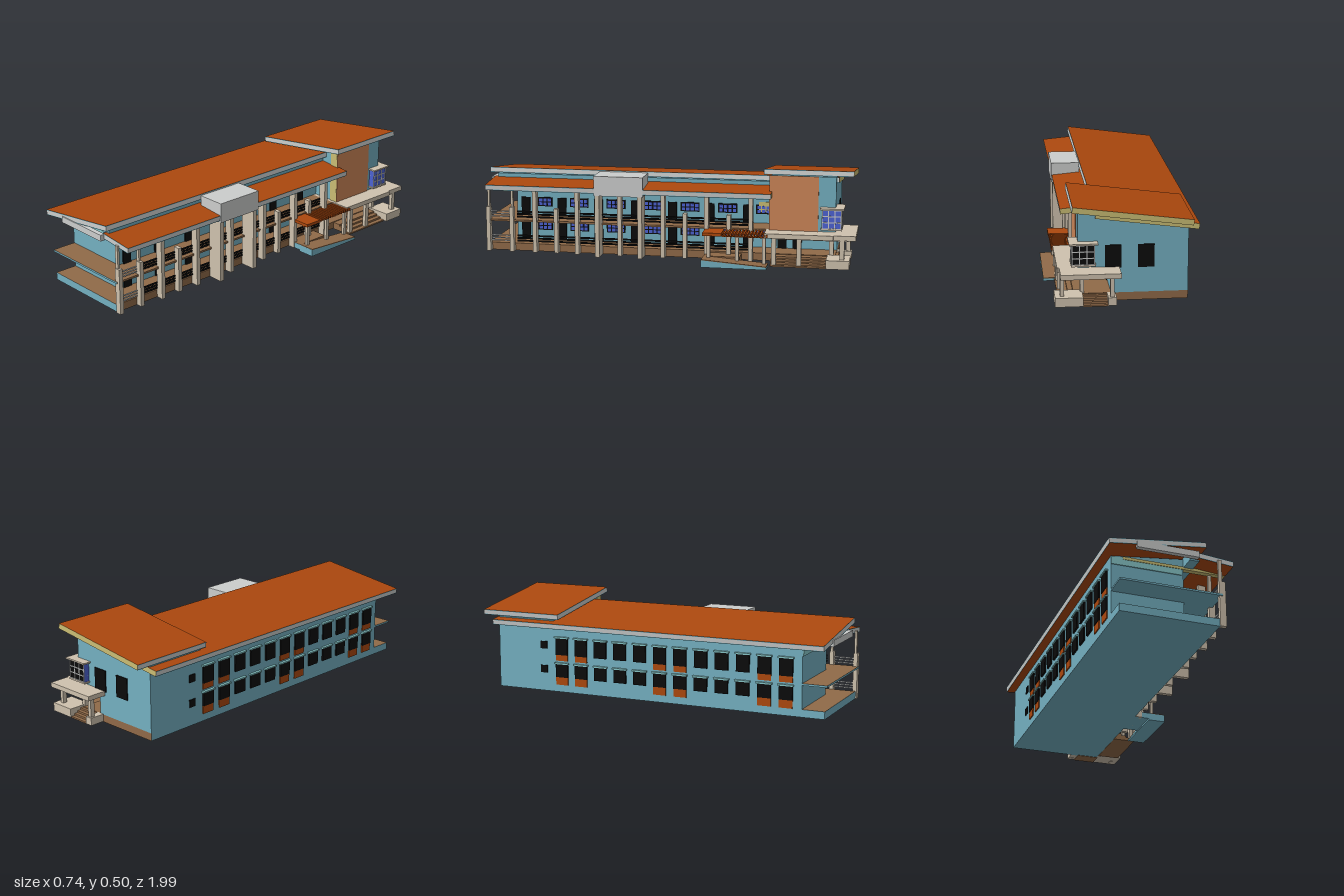
import * as THREE from 'three';

const mat = (name, color) => {
  const m = new THREE.MeshStandardMaterial({ color });
  m.name = name;
  return m;
};

export function createModel() {
  const root = new THREE.Group();
  root.name = 'schoolBuilding';

  const rust = mat('rustRoof', 0xac480e);
  const teal = mat('tealWall', 0x74b0c1);
  const mint = mat('mintTrim', 0x88c8ca);
  const gray = mat('grayFascia', 0xcccecd);
  const beige = mat('beigeConcrete', 0xcfc2ae);
  const yellow = mat('yellowTrim', 0xcabd74);
  const black = mat('blackMetal', 0x0b0b0b);
  const salmon = mat('salmonWall', 0xce8658);
  const brown = mat('brownFloor', 0x906a48);
  const blue = mat('blueGlass', 0x4c62d2);

  // Box from its limits; m may be one material or six (+x -x +y -y +z -z)
  const box = (name, x0, x1, y0, y1, z0, z1, m, parent = root) => {
    const mesh = new THREE.Mesh(new THREE.BoxGeometry(x1 - x0, y1 - y0, z1 - z0), m);
    mesh.position.set((x0 + x1) / 2, (y0 + y1) / 2, (z0 + z1) / 2);
    mesh.name = name;
    parent.add(mesh);
    return mesh;
  };

  // Wall block with a front outline (x, y) drawn out along z
  const block = (name, pts, z0, z1, m) => {
    const shape = new THREE.Shape(pts.map(p => new THREE.Vector2(p[0], p[1])));
    const mesh = new THREE.Mesh(new THREE.ExtrudeGeometry(shape, { depth: z1 - z0, bevelEnabled: false }), m);
    mesh.position.z = z0;
    mesh.name = name;
    root.add(mesh);
    return mesh;
  };

  // Sloping roof slab: gray fascia between two thin teal-edged sheets
  const roof = (name, x0, y0, x1, y1, z0, z1) => {
    const g = new THREE.Group();
    g.name = name;
    const h = Math.hypot(x1 - x0, y1 - y0) / 2;
    box('fascia', -h, h, -0.024, -0.004, z0, z1, [gray, gray, gray, gray, gray, yellow], g);
    const sheet = [teal, teal, rust, rust, teal, yellow];
    box('roofSheet', -h, h, -0.004, 0, z0, z1, sheet, g);
    box('soffit', -h, h, -0.028, -0.024, z0, z1, sheet, g);
    g.position.set((x0 + x1) / 2, (y0 + y1) / 2, 0);
    g.rotation.z = Math.atan2(y1 - y0, x1 - x0);
    root.add(g);
  };

  // Base, upper floor and main walls
  const slab = [brown, teal, brown, teal, teal, brown];
  box('base', -0.315, 0.195, 0.008, 0.048, -0.89, 0.98, slab);
  box('upperFloor', -0.315, 0.212, 0.17, 0.18, -0.55, 0.99, slab);
  block('classroomWall', [[-0.315, 0.048], [0.06, 0.048], [0.06, 0.41], [-0.315, 0.362]], -0.56, 0.86, teal);
  box('frieze', -0.315, 0.05, 0.318, 0.36, 0.86, 0.865, mint);
  box('endBeam', -0.255, 0.28, 0.35, 0.365, 0.84, 0.868, yellow);
  box('endLintel', -0.225, 0.095, 0.36, 0.393, 0.965, 0.99, gray);
  box('clerestory', 0.06, 0.11, 0.36, 0.416, -0.55, 0.95, teal);

  // Taller block: narrow ground storey, wide upper storey
  box('towerGround', -0.315, 0.06, 0.048, 0.18, -0.89, -0.55, teal);
  block('towerUpper', [[-0.315, 0.18], [0.22, 0.18], [0.22, 0.468], [-0.315, 0.398]], -0.89, -0.55, teal);
  box('salmonPanel', 0.22, 0.225, 0.18, 0.468, -0.8, -0.546, salmon);
  box('yellowPanel', 0.175, 0.222, 0.18, 0.462, -0.55, -0.545, yellow);

  // Roofs
  roof('mainRoof', -0.368, 0.386, 0.133, 0.452, -0.9, 0.985);
  roof('towerRoof', -0.328, 0.43, 0.251, 0.505, -0.98, -0.52);
  roof('verandaRoof', 0.088, 0.397, 0.284, 0.379, -0.56, 0.97);

  // Gray portal box with its fins
  box('portalBox', 0.135, 0.287, 0.34, 0.445, 0.112, 0.375, gray);
  for (const z of [0.36, 0.13]) box('portalFin', 0.195, 0.28, 0.008, 0.345, z - 0.012, z + 0.012, beige);

  // Veranda columns, tall and short in turn
  for (let i = 0; i < 11; i++) {
    const z = 0.715 - i * 0.1165;
    if (i === 3 || i === 5) continue;
    const tall = i % 2 === 0;
    box('column', 0.195, tall ? 0.235 : 0.228, 0.008, tall ? 0.362 : 0.25, z - 0.011, z + 0.011, beige);
  }
  for (const z of [0.845, 0.975]) {
    box('column', 0.195, 0.228, 0.008, 0.25, z - 0.011, z + 0.011, beige);
    box('columnTop', 0.195, 0.213, 0.25, 0.37, z - 0.006, z + 0.006, beige);
  }

  for (const y of [0.048, 0.18]) {
    // Veranda railings
    for (let i = 0; i < 11; i++) {
      const z = 0.775 - i * 0.1165;
      for (let k = 0; k < 3; k++)
        box('railing', 0.2, 0.206, y + 0.012 + k * 0.014, y + 0.021 + k * 0.014, z - 0.044, z + 0.044, black);
    }
    for (let k = 0; k < 3; k++)
      box('endRailing', 0.2, 0.206, y + 0.012 + k * 0.014, y + 0.018 + k * 0.014, 0.86, 0.965, gray);

    // Classroom doors and windows behind the veranda
    for (let i = 0; i < 7; i++) {
      const z = 0.81 - i * 0.204;
      box('door', 0.06, 0.068, y, y + 0.098, z - 0.024, z + 0.024, black);
      box('windowFrame', 0.06, 0.066, y + 0.05, y + 0.1, z - 0.148, z - 0.045, black);
      for (let k = 0; k < 4; k++) for (let r = 0; r < 2; r++)
        box('pane', 0.066, 0.068, y + 0.056 + r * 0.021, y + 0.072 + r * 0.021,
          z - 0.142 + k * 0.024, z - 0.124 + k * 0.024, blue);
    }

    // Rear windows with hoods; some bays have a rust panel beneath
    const s = y === 0.18 ? 0.032 : 0.042;
    for (let i = 0; i < 12; i++) {
      const z = -0.5 + i * 0.116, panel = i % 5 < 2;
      const top = y === 0.18 ? 0.303 : 0.162;
      box('rearWindow', -0.324, -0.315, y + s, top, z - 0.036, z + 0.036, black);
      box('windowHood', -0.33, -0.315, top, top + 0.008, z - 0.042, z + 0.042, mint);
      if (panel) box('rearPanel', -0.321, -0.315, y, y + s, z - 0.036, z + 0.036, rust);
    }
    box('smallRearWindow', -0.32, -0.315, y + 0.06, y + 0.1, -0.63, -0.59, black);
  }

  // Tower windows on the rear end, notice panel on the veranda
  for (const x of [-0.11, 0.05])
    box('endWindow', x - 0.04, x + 0.04, 0.175, 0.29, -0.895, -0.89, black);
  box('noticePanel', 0.06, 0.067, 0.24, 0.295, -0.54, -0.475, yellow);
  for (const z of [-0.6, -0.68]) box('towerDoor', 0.06, 0.066, 0.048, 0.14, z - 0.024, z + 0.024, black);

  // Corner bay window with white grid
  box('bayGlass', 0.14, 0.25, 0.2, 0.3, -0.92, -0.82, [blue, blue, blue, blue, blue, black]);
  box('bayHood', 0.125, 0.265, 0.302, 0.31, -0.935, -0.81, beige);
  box('baySill', 0.135, 0.255, 0.194, 0.202, -0.925, -0.815, beige);
  for (let k = 0; k < 4; k++) {
    const t = k * 0.0323;
    box('bayBar', 0.25, 0.253, 0.2, 0.302, -0.922 + t, -0.917 + t, gray);
    box('bayBar', 0.14 + t * 1.1, 0.145 + t * 1.1, 0.2, 0.302, -0.923, -0.92, gray);
    box('bayBar', 0.14, 0.253, 0.2 + t, 0.205 + t, -0.923, -0.82, gray);
  }

  // Entrance canopy, posts, plinth and steps on two sides
  box('entranceCanopy', 0.02, 0.31, 0.155, 0.18, -1, -0.88, beige);
  box('entranceCanopy', 0.06, 0.32, 0.155, 0.18, -0.885, -0.53, beige);
  box('canopyBeam', 0.06, 0.285, 0.145, 0.156, -0.96, -0.56, beige);
  for (const [x, z] of [[0.3, -0.58], [0.3, -0.71], [0.3, -0.93], [0.06, -0.95], [0.2, -0.87]])
    box('entrancePost', x - 0.01, x + 0.01, 0.008, 0.156, z - 0.012, z + 0.012, beige);
  box('cornerPlinth', 0.2, 0.335, 0.01, 0.055, -0.97, -0.85, beige);
  box('endPlinth', 0.04, 0.08, 0.01, 0.05, -0.97, -0.89, beige);
  for (let k = 0; k < 4; k++) {
    const top = 0.044 - k * 0.01;
    box('sideStep', 0.195, 0.24 + k * 0.025, 0.006, top, -0.85, -0.56, brown);
    box('endStep', 0.08, 0.2, 0.006, top, -0.905 - k * 0.02, -0.88, brown);
  }

  // Access ramp: profile along -z, turned so its depth runs along x
  box('rampFooting', 0.276, 0.37, 0, 0.008, -0.55, -0.21, teal);
  const ramp = block('ramp', [[0.21, 0.008], [0.55, 0.008], [0.55, 0.012], [0.21, 0.038]], 0, 0.09, teal);
  ramp.rotation.y = Math.PI / 2;
  ramp.position.set(0.28, 0, 0);
  const deck = box('rampDeck', 0.28, 0.37, 0.0245, 0.0285, -0.55, -0.21, brown);
  deck.rotation.x = -Math.atan2(0.026, 0.34);
  box('rampLanding', 0.195, 0.28, 0.008, 0.04, -0.4, -0.21, [brown, teal, brown, teal, teal, brown]);

  // Slatted porch cover over the ramp
  box('porchCover', 0.2, 0.33, 0.158, 0.174, -0.31, -0.21, rust);
  for (let k = 0; k < 14; k++)
    box('porchSlat', 0.2, 0.328, 0.16, 0.174, -0.55 + k * 0.017, -0.541 + k * 0.017, rust);
  for (const x of [0.21, 0.3]) box('porchRail', x - 0.006, x + 0.006, 0.152, 0.16, -0.55, -0.21, rust);
  for (const z of [-0.24, -0.39, -0.53])
    box('porchPost', 0.294, 0.31, 0.008, 0.153, z - 0.009, z + 0.009, beige);

  return root;
}
